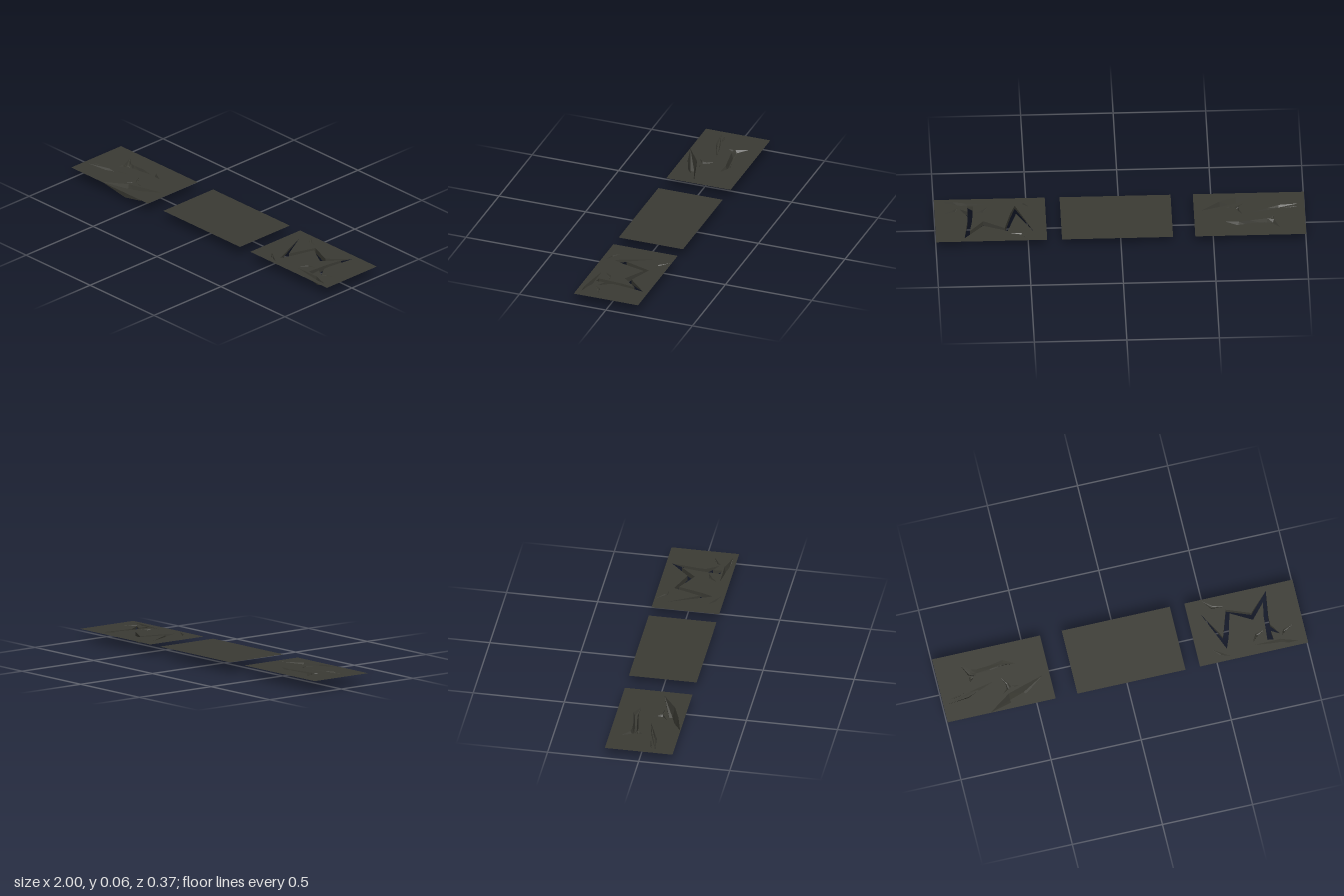
import * as THREE from 'three';

const TOP = 0.065, HALF_Z = 0.186;
const stone = new THREE.MeshStandardMaterial({ color: 0x3b3b34, side: THREE.DoubleSide });
stone.name = 'darkStone';

// plan coordinates in hundredths of a unit -> [x, z]
const P = (x, z) => [x / 100, z / 100];

function facets(name, quads) {
  const pos = [];
  for (const [a, b, c, d] of quads) pos.push(...a, ...b, ...c, ...a, ...c, ...d);
  const g = new THREE.BufferGeometry();
  g.setAttribute('position', new THREE.Float32BufferAttribute(pos, 3));
  g.computeVertexNormals();
  const m = new THREE.Mesh(g, stone);
  m.name = name;
  return m;
}

// flat slab face with openings cut into it
function panel(name, x0, x1, holes) {
  const shape = new THREE.Shape([[x0, -HALF_Z], [x1, -HALF_Z], [x1, HALF_Z], [x0, HALF_Z]]
    .map(p => new THREE.Vector2(...p)));
  holes.forEach(h => shape.holes.push(new THREE.Path(h.map(([x, z]) => new THREE.Vector2(x, -z)))));
  const g = new THREE.ShapeGeometry(shape);
  g.rotateX(-Math.PI / 2).translate(0, TOP, 0);
  const m = new THREE.Mesh(g, stone);
  m.name = name;
  return m;
}

// trough-shaped crack: stations are [leftX, leftZ, rightX, rightZ, depth], pointed ends are [x, z]
function crack(name, list) {
  const st = list.map(s => s.length === 2 ? [...s, ...s, 0] : s)
    .map(([a, b, c, d, e]) => ({ l: P(a, b), r: P(c, d), e }));
  const section = ({ l, r, e }) => [0, 0.3, 0.7, 1].map((t, i) =>
    [l[0] + (r[0] - l[0]) * t, TOP - (i % 3 ? e : 0), l[1] + (r[1] - l[1]) * t]);
  const quads = [];
  for (let i = 0; i + 1 < st.length; i++) {
    const a = section(st[i]), b = section(st[i + 1]);
    for (let k = 0; k < 3; k++) quads.push([a[k], a[k + 1], b[k + 1], b[k]]);
  }
  const outline = [...st.map(s => s.l), ...st.slice(1, -1).reverse().map(s => s.r)];
  return { mesh: facets(name, quads), outline };
}

// jagged opening with hanging walls and no floor: points are [x, z, depth]
function fissure(name, pts) {
  const quads = pts.map((p, i) => {
    const q = pts[(i + 1) % pts.length];
    const [a, b] = [P(p[0], p[1]), P(q[0], q[1])];
    return [[a[0], TOP, a[1]], [b[0], TOP, b[1]],
      [b[0], TOP - q[2] / 100, b[1]], [a[0], TOP - p[2] / 100, a[1]]];
  });
  return { mesh: facets(name, quads), outline: pts.map(p => P(p[0], p[1])) };
}

function slab(name, x0, x1, cuts) {
  const g = new THREE.Group();
  g.name = name;
  g.add(panel(name + 'Face', x0, x1, cuts.map(c => c.outline)), ...cuts.map(c => c.mesh));
  return g;
}

export function createModel() {
  const root = new THREE.Group();
  root.name = 'crackedSlabs';

  // slab with closed cracks
  root.add(slab('crackedSlab', -1, -0.4, [
    crack('branchedCrack', [[-86, -12], [-81, -8, -83, -5, 0.015], [-78, -7.5, -79.5, -4, 0.032],
      [-71, -8, -70, -5.5, 0.034], [-63, -9.5, -64, -6.5, 0.02], [-56.5, -6]]),
    crack('branchTip', [[-83, -1], [-82.8, -4, -80.8, -3, 0.01], [-80.5, -3.8]]),
    crack('longCrack', [[-97, 8.5], [-85, 4.5, -86, 7.5, 0.012], [-79, 3, -80, 5, 0.015], [-71, 1.5]]),
    crack('sliver', [[-96, 6], [-92, 5, -92, 6, 0.006], [-88, 4.5]]),
    crack('deepCrack', [[-76, 18.4], [-64, 10, -63, 15, 0.065], [-56, 7.5, -54, 11.5, 0.065], [-44, 4]]),
    crack('forkCrack', [[-66, 0.5], [-64.5, 4, -63, 4, 0.01], [-64.5, 7, -62, 6.5, 0.014], [-67, 9.5]]),
    crack('forkTip', [[-61.5, 6], [-59.5, 6.2, -59.5, 7, 0.008], [-57.5, 6.5]]),
  ].map(c => {
    c.mesh.geometry.computeBoundingBox(); // deepest floor rests on the ground
    return c;
  })));

  // intact slab
  root.add(slab('plainSlab', -0.28, 0.32, []));

  // slab broken right through
  root.add(slab('brokenSlab', 0.4, 1, [
    fissure('zigzagFissure', [
      [47, -11, 0], [56, 5, 3], [61, -10, 3], [74, -5, 3], [84.5, -15.5, 0],
      [82.5, -1, 3], [82.3, 3.5, 3], [86.5, 10, 0.5], [82, 7.5, 3], [82.3, 12.5, 1],
      [79, 12, 3], [80, -1, 3], [81.5, -9.5, 3], [74, -1, 3], [62.5, -7.5, 3], [59, 5.5, 3], [56.5, 12, 2],
    ]),
    crack('backCrack', [[49, -18], [54.5, -13.8, 53.5, -12.3, 0.005], [60.5, -11.8]]),
    crack('frontLeftCrack', [[49, 11], [53, 13.5, 52, 14.5, 0.015], [57.5, 16.5]]),
    crack('innerCrack', [[71, 11.5], [73.5, 7, 75, 8, 0.015], [78.5, 6]]),
    crack('frontRightCrack', [[71.5, 13.2], [80, 13.2, 79.5, 14.6, 0.02], [86, 13, 85, 15.5, 0.03],
      [90, 14.5, 90, 16.2, 0.03], [95.5, 16]]),
    crack('rightCrack', [[87.5, 11], [88.5, 8, 89.8, 9, 0.015], [95, 6]]),
  ]));
  return root;
}
